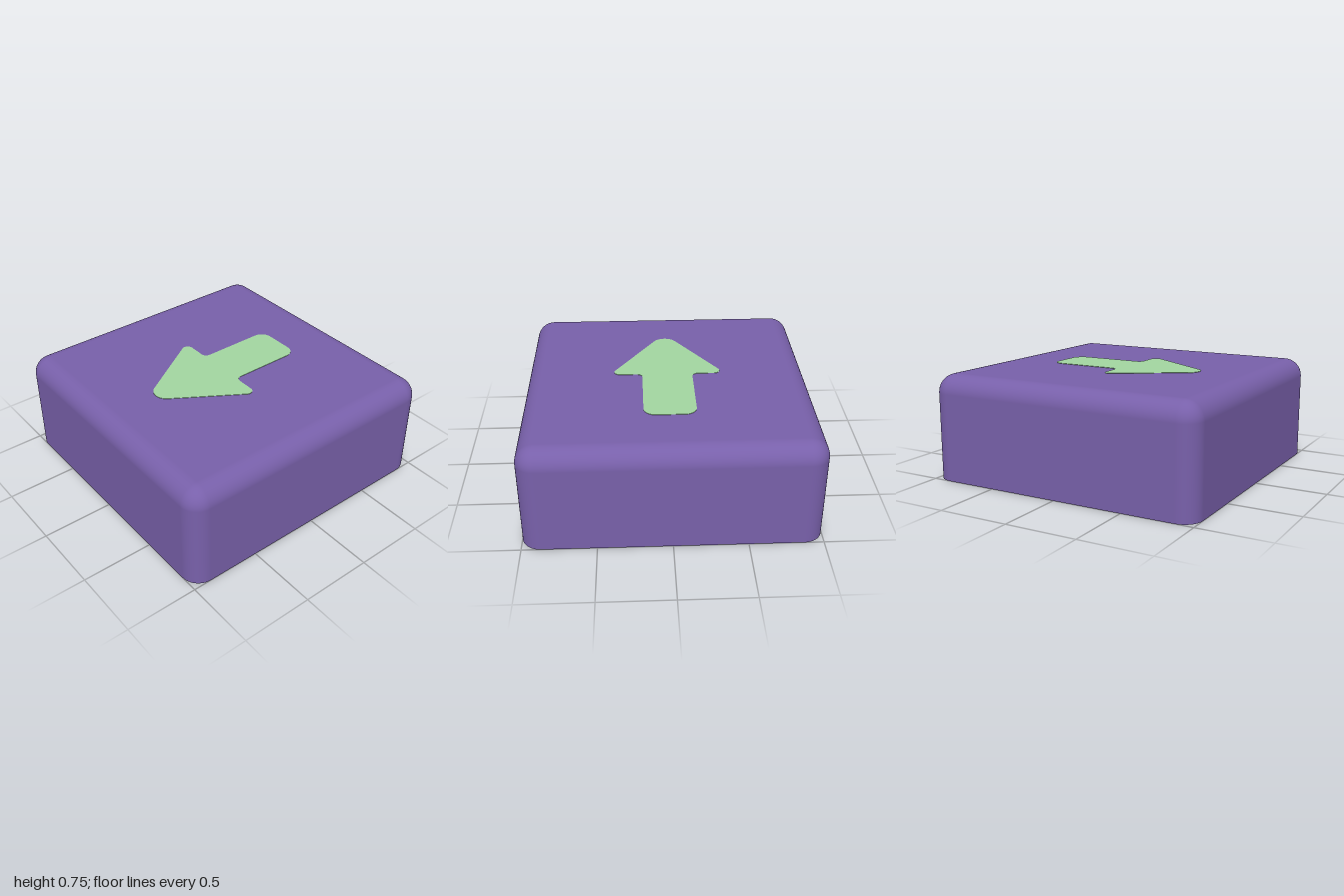
import * as THREE from 'three';
import { toCreasedNormals } from 'three/addons/utils/BufferGeometryUtils.js';

const H = 0.742, R = 0.13;              // cap height and edge radius
const WALL = 0.13, INNER_R = 0.09;      // wall thickness and inner corner radius
const CEIL = 0.574, STEM_Y = 0.1, STEM_R = 0.305;

// Loft of rounded squares; each ring is [half size, corner radius, y, outward normal, upward normal]
function loftSquares(rings, seg = 12) {
  const pos = [], nor = [], idx = [];
  const n = 4 * (seg + 1);
  for (const [half, r, y, nOut, nUp] of rings) {
    for (let k = 0; k < 4; k++) {
      const cx = (k === 0 || k === 3 ? 1 : -1) * (half - r);
      const cz = (k < 2 ? 1 : -1) * (half - r);
      for (let s = 0; s <= seg; s++) {
        const a = (k + s / seg) * Math.PI / 2;
        pos.push(cx + r * Math.cos(a), y, cz + r * Math.sin(a));
        nor.push(nOut * Math.cos(a), nUp, nOut * Math.sin(a));
      }
    }
  }
  for (let i = 0; i < rings.length - 1; i++) {
    for (let j = 0; j < n; j++) {
      const a = i * n + j, b = i * n + (j + 1) % n;
      idx.push(a, a + n, b, b, a + n, b + n);
    }
  }
  const g = new THREE.BufferGeometry();
  g.setAttribute('position', new THREE.Float32BufferAttribute(pos, 3));
  g.setAttribute('normal', new THREE.Float32BufferAttribute(nor, 3));
  g.setIndex(idx);
  return g;
}

// Closed shape whose corners [x, y, radius] are rounded by arcs
function roundedShape(corners) {
  const shape = new THREE.Shape();
  const n = corners.length;
  corners.forEach(([x, y, r], i) => {
    const p = new THREE.Vector2(x, y);
    const toward = ([qx, qy]) => new THREE.Vector2(qx, qy).sub(p).normalize();
    const u = toward(corners[(i + n - 1) % n]), v = toward(corners[(i + 1) % n]);
    const h = Math.acos(u.dot(v)) / 2, t = r / Math.tan(h);
    const c = u.clone().add(v).normalize().multiplyScalar(r / Math.sin(h)).add(p);
    const from = u.multiplyScalar(t).add(p), to = v.multiplyScalar(t).add(p);
    const turn = (p.x - from.x) * (to.y - p.y) - (p.y - from.y) * (to.x - p.x);
    if (i === 0) shape.moveTo(from.x, from.y);
    else shape.lineTo(from.x, from.y);
    shape.absarc(c.x, c.y, r, Math.atan2(from.y - c.y, from.x - c.x),
      Math.atan2(to.y - c.y, to.x - c.x), turn < 0);
  });
  shape.closePath();
  return shape;
}

// Extrude a flat shape upward from height y
function extrudeUp(shape, y, depth, curveSegments) {
  const g = new THREE.ExtrudeGeometry(shape, { depth, bevelEnabled: false, curveSegments });
  g.rotateX(-Math.PI / 2);
  g.translate(0, y, 0);
  return toCreasedNormals(g, 0.5);
}

export function createModel() {
  const purple = new THREE.MeshStandardMaterial({ color: 0x7860aa });
  purple.name = 'purple';
  const green = new THREE.MeshStandardMaterial({ color: 0xa2d6a0 });
  green.name = 'green';

  const model = new THREE.Group();
  model.name = 'keycap';
  const add = (name, geometry, material) => {
    const mesh = new THREE.Mesh(geometry, material);
    mesh.name = name;
    model.add(mesh);
  };

  // Hollow shell: ceiling, inner wall, rim, outer wall, rounded edge, top
  const inner = 1 - WALL;
  const rings = [
    [0, 0, CEIL, 0, -1], [inner, INNER_R, CEIL, 0, -1],
    [inner, INNER_R, CEIL, -1, 0], [inner, INNER_R, 0, -1, 0],
    [inner, INNER_R, 0, 0, -1], [1, R, 0, 0, -1],
    [1, R, 0, 1, 0],
  ];
  for (let i = 0; i <= 12; i++) {
    const a = i / 12 * Math.PI / 2, c = Math.cos(a), s = Math.sin(a);
    rings.push([1 - R + R * c, R * c, H - R + R * s, c, s]);
  }
  rings.push([0, 0, H, 0, 1]);
  add('shell', loftSquares(rings), purple);

  // Round stem with a cross-shaped socket
  const stem = new THREE.Shape();
  stem.absarc(0, 0, STEM_R, 0, Math.PI * 2);
  const L = 0.228, W = 0.072, cross = [];
  for (let k = 0; k < 4; k++) {
    for (const [x, y] of [[L, -W], [L, W], [W, W]]) {
      cross.push(new THREE.Vector2(x, y).rotateAround(new THREE.Vector2(), k * Math.PI / 2));
    }
  }
  stem.holes.push(new THREE.Path(cross));
  add('stem', extrudeUp(stem, STEM_Y, CEIL - STEM_Y, 48), purple);

  // Fillet where the stem meets the ceiling
  const F = 0.055, arc = [];
  for (let i = 0; i <= 6; i++) {
    const a = i / 6 * Math.PI / 2;
    arc.push(new THREE.Vector2(STEM_R + F - F * Math.cos(a), CEIL - F + F * Math.sin(a)));
  }
  add('stemFillet', new THREE.LatheGeometry(arc, 48), purple);

  // Arrow inlay on the top, pointing to -x
  const arrow = roundedShape([
    [-0.64, 0, 0.094], [0, -0.41, 0.04], [0, -0.178, 0.04], [0.555, -0.178, 0.08],
    [0.555, 0.178, 0.08], [0, 0.178, 0.04], [0, 0.41, 0.04],
  ]);
  add('arrow', extrudeUp(arrow, H - 0.001, 0.004, 12), green);

  return model;
}
